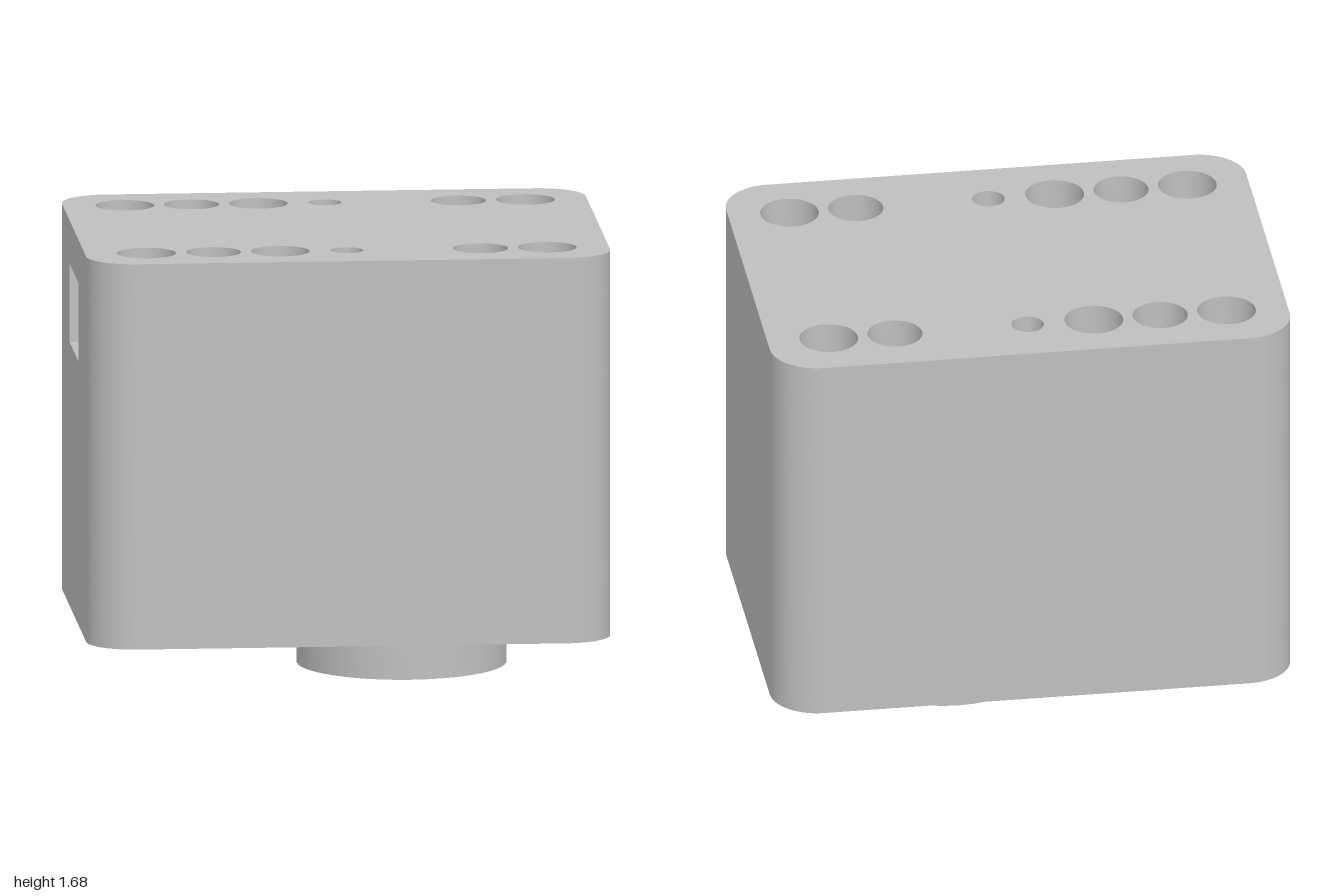
import * as THREE from 'three';
import { toCreasedNormals } from 'three/addons/utils/BufferGeometryUtils.js';

const HALF_X = 1, HALF_Z = 0.745, CORNER = 0.18, ROW = 0.51;
const ROTOR_X = 0.25;

// Round hole in plan (x, z)
function circle(x, z, r) {
  const p = new THREE.Path();
  p.absarc(x, z, r, 0, Math.PI * 2, false);
  return p;
}

// Nut pocket with two corners pointing along z
function hexagon(x, z, r) {
  const pts = [];
  for (let i = 0; i < 6; i++) {
    const a = Math.PI / 6 + (i * Math.PI) / 3;
    pts.push(new THREE.Vector2(x + r * Math.cos(a), z + r * Math.sin(a)));
  }
  return new THREE.Path(pts);
}

// Inner chamber, traced from its port corner all the way round
function traceChamber(p) {
  p.quadraticCurveTo(-0.88, 0.38, -0.6, 0.38);
  p.lineTo(0.6, 0.38);
  p.lineTo(0.6, -0.38);
  p.lineTo(-0.6, -0.38);
  p.quadraticCurveTo(-0.88, -0.38, -0.9, -0.205);
}

function chamberHole() {
  const p = new THREE.Path();
  p.moveTo(-0.9, 0.205);
  traceChamber(p);
  p.closePath();
  return p;
}

// Rounded rectangle, optionally opened on its -x side into the chamber
function outline(withPort) {
  const s = new THREE.Shape(), x = HALF_X - CORNER, z = HALF_Z - CORNER;
  s.moveTo(-x, -HALF_Z);
  s.lineTo(x, -HALF_Z);
  s.absarc(x, -z, CORNER, -Math.PI / 2, 0, false);
  s.lineTo(HALF_X, z);
  s.absarc(x, z, CORNER, 0, Math.PI / 2, false);
  s.lineTo(-x, HALF_Z);
  s.absarc(-x, z, CORNER, Math.PI / 2, Math.PI, false);
  if (withPort) {
    s.lineTo(-HALF_X, 0.205);
    s.lineTo(-0.9, 0.205);
    traceChamber(s);
    s.lineTo(-HALF_X, -0.205);
  }
  s.lineTo(-HALF_X, -z);
  s.absarc(-x, -z, CORNER, Math.PI, Math.PI * 1.5, false);
  return s;
}

// Extrude a plan shape between two heights
function slab(name, shape, y0, y1, material) {
  const geo = new THREE.ExtrudeGeometry(shape, { depth: y1 - y0, bevelEnabled: false, curveSegments: 20 });
  geo.rotateX(Math.PI / 2);
  geo.translate(0, y1, 0);
  const mesh = new THREE.Mesh(toCreasedNormals(geo, Math.PI / 5), material);
  mesh.name = name;
  return mesh;
}

// Two mirrored rows of vertical holes; the bolt holes vary by layer
function rowHoles(boltHole) {
  const holes = [];
  for (const z of [-ROW, ROW]) {
    for (const x of [-0.765, -0.255, 0.765]) holes.push(circle(x, z, 0.112));
    holes.push(circle(0, z, 0.062));
    for (const x of [-ROW, ROW]) holes.push(boltHole(x, z));
  }
  return holes;
}

export function createModel() {
  const grey = new THREE.MeshStandardMaterial({ color: 0xbfbfbf });
  grey.name = 'grey';
  const model = new THREE.Group();
  model.name = 'gearHousing';
  const bolt = (x, z) => circle(x, z, 0.062);

  // Base layer: nut pockets, rotor opening and blind screw holes
  const base = outline(false);
  base.holes.push(...rowHoles((x, z) => hexagon(x, z, 0.115)), circle(ROTOR_X, 0, 0.412));
  for (const side of [-1, 1]) {
    base.holes.push(circle(0.765, side * 0.177, 0.098));
    base.holes.push(circle(-0.563, side * 0.177, 0.098));
    base.holes.push(circle(-0.26, side * 0.256, 0.06));
  }
  model.add(slab('housingBase', base, 0.195, 0.4, grey));

  // Middle layer around the chamber
  const middle = outline(false);
  middle.holes.push(...rowHoles(bolt), chamberHole());
  model.add(slab('housingMiddle', middle, 0.4, 1.215, grey));

  // Port layer, open on the -x side
  const port = outline(true);
  port.holes.push(...rowHoles(bolt));
  model.add(slab('housingPort', port, 1.215, 1.518, grey));

  // Lid layer with counterbored bolt holes
  const lid = outline(false);
  lid.holes.push(...rowHoles((x, z) => circle(x, z, 0.105)));
  model.add(slab('housingLid', lid, 1.518, 1.685, grey));

  // Output rotor: centre bore, four screw holes, two large holes
  const rotor = new THREE.Shape();
  rotor.absarc(ROTOR_X, 0, 0.4, 0, Math.PI * 2, false);
  rotor.holes.push(circle(ROTOR_X, 0, 0.092));
  for (let i = 0; i < 4; i++) {
    const a = (i * Math.PI) / 2;
    rotor.holes.push(circle(ROTOR_X + 0.256 * Math.cos(a), 0.256 * Math.sin(a), 0.057));
  }
  for (const s of [-1, 1]) rotor.holes.push(circle(ROTOR_X + s * 0.163, s * 0.163, 0.118));
  model.add(slab('rotor', rotor, 0, 0.38, grey));

  return model;
}
